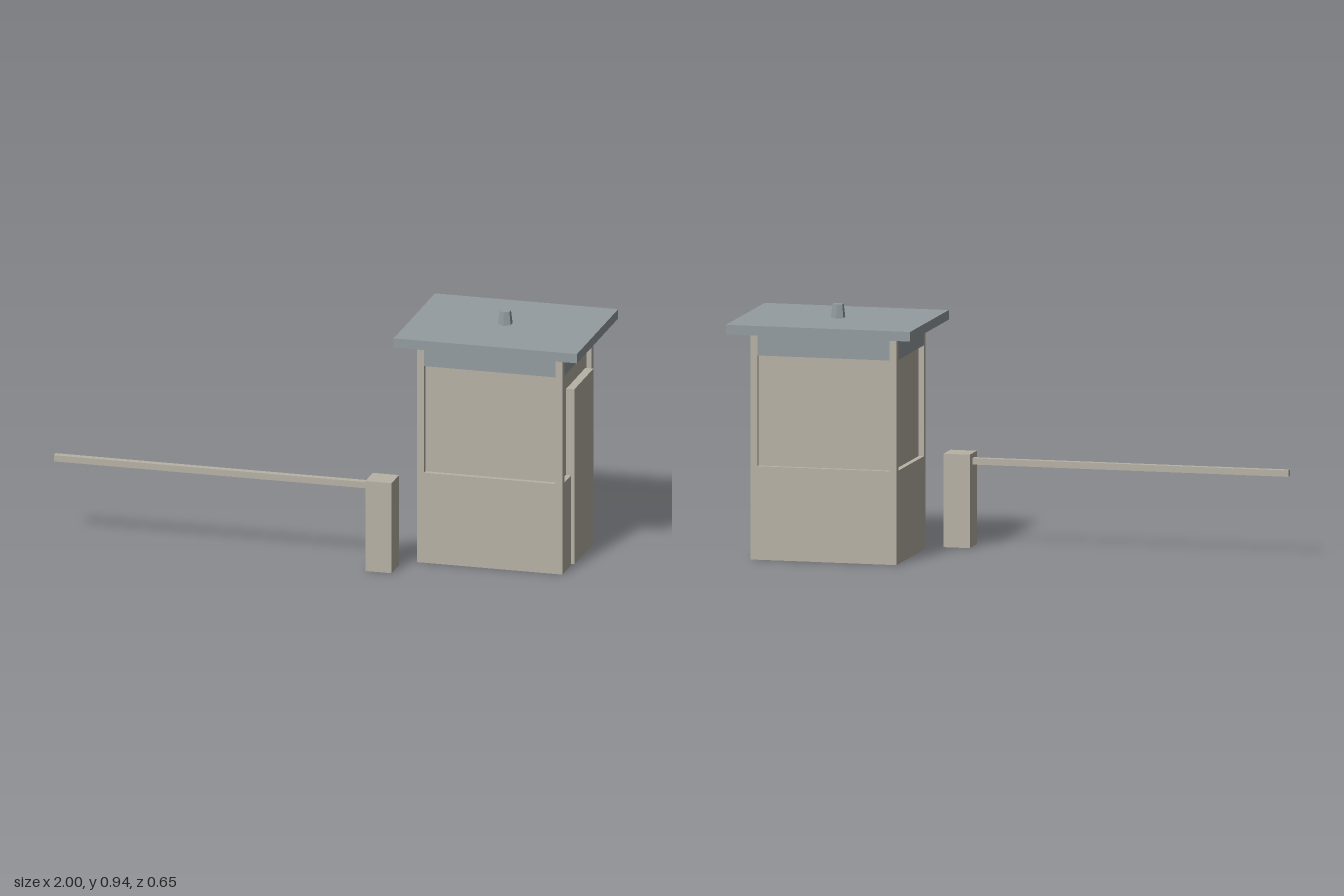
import * as THREE from 'three';

const make = (color) => new THREE.MeshStandardMaterial({ color, flatShading: true, side: THREE.DoubleSide });

export function createModel() {
  const model = new THREE.Group();
  const wallMat = make(0xb8b2a5);
  const roofMat = make(0x949ca0);

  const add = (parent, name, geometry, material, x = 0, y = 0, z = 0) => {
    const mesh = new THREE.Mesh(geometry, material);
    mesh.name = name;
    mesh.position.set(x, y, z);
    parent.add(mesh);
    return mesh;
  };
  // Box given by its extents
  const block = (name, material, [x0, x1], [y0, y1], [z0, z1]) =>
    add(model, name, new THREE.BoxGeometry(x1 - x0, y1 - y0, z1 - z0), material,
      (x0 + x1) / 2, (y0 + y1) / 2, (z0 + z1) / 2);

  // Booth: a hollow shell, open underneath, with a recessed window on every side
  const W = 0.56, D = 0.425, H = 0.85;
  const sill = 0.35, head = 0.765, post = 0.027, recess = 0.02;
  const booth = new THREE.Group();
  booth.name = 'booth';
  booth.position.set(0.645, 0, -0.0425);
  model.add(booth);

  const buildSide = (name, width, distance, angle) => {
    const side = new THREE.Group();
    side.name = name;
    side.rotation.y = angle;
    booth.add(side);
    const a = width / 2, b = a - post, midY = (sill + head) / 2, winH = head - sill;
    // Lower wall with the two corner posts
    const outline = [[-a, 0], [a, 0], [a, H], [b, H], [b, sill], [-b, sill], [-b, H], [-a, H]]
      .map(([x, y]) => new THREE.Vector2(x, y));
    add(side, 'wall', new THREE.ShapeGeometry(new THREE.Shape(outline)), wallMat, 0, 0, distance);
    // Band between window and roof
    add(side, 'upperBand', new THREE.PlaneGeometry(2 * b, H - head), roofMat, 0, (H + head) / 2, distance);
    add(side, 'windowPane', new THREE.PlaneGeometry(2 * b, winH), wallMat, 0, midY, distance - recess);
    // Window reveals
    const z = distance - recess / 2;
    add(side, 'windowSill', new THREE.PlaneGeometry(2 * b, recess), wallMat, 0, sill, z).rotation.x = -Math.PI / 2;
    add(side, 'windowHead', new THREE.PlaneGeometry(2 * b, recess), roofMat, 0, head, z).rotation.x = Math.PI / 2;
    for (const s of [-1, 1]) {
      add(side, 'windowJamb', new THREE.PlaneGeometry(recess, winH), wallMat, s * b, midY, z).rotation.y = -s * Math.PI / 2;
    }
  };
  buildSide('frontSide', W, D / 2, 0);
  buildSide('leftSide', D, W / 2, Math.PI / 2);
  buildSide('backSide', W, D / 2, Math.PI);
  buildSide('rightSide', D, W / 2, -Math.PI / 2);

  // Door, roof slab and hexagonal roof vent
  block('door', wallMat, [0.906, 0.937], [0.005, 0.685], [-0.21, 0.052]);
  block('roof', roofMat, [0.295, 1], [0.85, 0.886], [-0.325, 0.239]);
  add(model, 'roofVent', new THREE.CylinderGeometry(0.022, 0.028, 0.051, 6), roofMat, 0.645, 0.9115, -0.0425);

  // Barrier: post open underneath, and the arm
  const barrierPost = block('barrierPost', wallMat, [0.21, 0.311], [0, 0.35], [0.222, 0.325]);
  const faces = Array.from(barrierPost.geometry.index.array);
  faces.splice(18, 6); // bottom face
  barrierPost.geometry.setIndex(faces);
  barrierPost.geometry.clearGroups();
  block('barrierArm', wallMat, [-1, 0.21], [0.308, 0.332], [0.258, 0.284]);

  return model;
}
